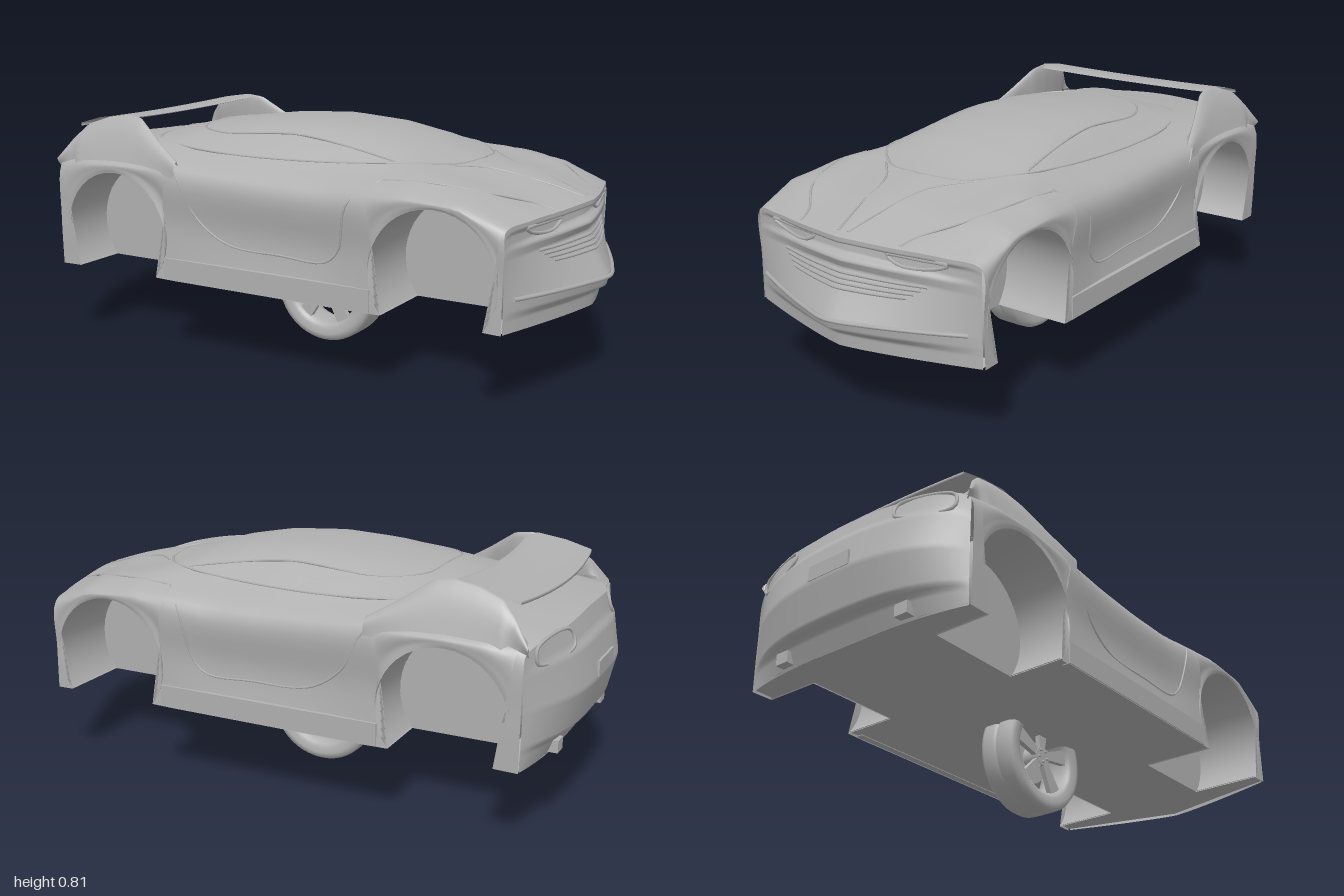
import * as THREE from 'three';

const paint = new THREE.MeshStandardMaterial({ color: 0xb0b0b0, side: THREE.DoubleSide });
paint.name = 'plain grey';
const V = (x, y, z) => new THREE.Vector3(x, y, z);
const lerp = THREE.MathUtils.lerp;

// Smooth surface from a grid of points p(i, j)
function grid(nu, nv, p) {
  const pos = [], idx = [];
  for (let i = 0; i <= nu; i++) for (let j = 0; j <= nv; j++) pos.push(...p(i, j).toArray());
  for (let i = 0; i < nu; i++) for (let j = 0; j < nv; j++) {
    const a = i * (nv + 1) + j, b = a + nv + 1;
    idx.push(a, b, a + 1, b, b + 1, a + 1);
  }
  const g = new THREE.BufferGeometry();
  g.setAttribute('position', new THREE.Float32BufferAttribute(pos, 3));
  g.setIndex(idx);
  g.computeVertexNormals();
  return g;
}

// Linear lookup in a table
function look(xs, ys, x) {
  let i = 0;
  while (i < xs.length - 2 && x > xs[i + 1]) i++;
  return lerp(ys[i], ys[i + 1], THREE.MathUtils.clamp((x - xs[i]) / (xs[i + 1] - xs[i]), 0, 1));
}

// Body measures along the length
const X = [-0.87, -0.75, -0.62, -0.45, -0.2, 0, 0.2, 0.35, 0.5, 0.68, 0.83];
const T = {
  shoulderZ: [0.45, 0.46, 0.46, 0.455, 0.445, 0.443, 0.445, 0.455, 0.46, 0.46, 0.45],
  shoulderY: [0.62, 0.64, 0.645, 0.64, 0.62, 0.61, 0.61, 0.625, 0.64, 0.63, 0.57],
  beltZ: [0.40, 0.38, 0.36, 0.36, 0.35, 0.34, 0.33, 0.34, 0.36, 0.36, 0.34],
  beltY: [0.65, 0.675, 0.69, 0.695, 0.70, 0.70, 0.695, 0.69, 0.69, 0.66, 0.59],
  roofZ: [0.2, 0.2, 0.2, 0.2, 0.21, 0.21, 0.21, 0.21, 0.2, 0.19, 0.18],
  roofY: [0.67, 0.695, 0.715, 0.75, 0.78, 0.787, 0.772, 0.745, 0.705, 0.66, 0.598],
  midY: [0.68, 0.70, 0.73, 0.77, 0.80, 0.81, 0.797, 0.767, 0.72, 0.672, 0.605],
  doorZ: [0.46, 0.462, 0.462, 0.45, 0.435, 0.432, 0.435, 0.45, 0.462, 0.462, 0.455],
};
const ARCH_Y = 0.40, ARCH_R = 0.217, SILL = 0.265;
const ARCHES = [{ cx: -0.62, inner: 0.26 }, { cx: 0.60, inner: 0.2 }];

// Point on the body: w runs 0..10 from one lower edge over the roof to the other
function skin(c, w) {
  const g = k => look(X, T[k], c.xs);
  const sy = g('shoulderY'), half = [
    [0.458, c.yb], [g('doorZ'), lerp(c.yb, sy, 0.5)], [g('shoulderZ'), sy],
    [g('beltZ'), g('beltY')], [g('roofZ'), g('roofY')]];
  const pts = [...half.map(([z, y]) => V(0, y, z)), V(0, g('midY'), 0),
    ...half.reverse().map(([z, y]) => V(0, y, -z))];
  const p = new THREE.CatmullRomCurve3(pts).getPoint(w / 10);
  const a = Math.min(w, 10 - w), xs = c.xs;
  const xc = xs + (xs < -0.6 ? (xs + 0.6) * 0.25 : xs > 0.5 ? (xs - 0.5) * 0.33 : 0);
  const q = Math.min(1, Math.abs(p.z) / g('shoulderZ'));
  p.x = a < 2 ? lerp(c.xb, xs, a / 2) : lerp(xc, xs, q ** (xs < 0 ? 3 : 1.25));
  return p;
}

// Columns of the body; over each wheel the lower end follows the arch
const columns = [{ xs: -0.87, xb: -0.87, yb: SILL }];
const plain = x => ({ xs: x, xb: x, yb: SILL });
ARCHES.forEach(({ cx }, n) => {
  for (let i = 0; i <= 24; i++) {
    const t = i / 24, th = THREE.MathUtils.degToRad(lerp(218, -38, t));
    columns.push({ xs: cx - 0.225 * Math.cos(Math.PI * t),
      xb: cx + ARCH_R * Math.cos(th), yb: ARCH_Y + ARCH_R * Math.sin(th) });
  }
  if (n === 0) for (let i = 0; i <= 14; i++) columns.push(plain(lerp(-0.37, 0.35, i / 14)));
});
columns.push(plain(0.83));

// Nose and tail: from the body's end edge down to the sill
const ENDS = {
  nose: { c: plain(0.83), pow: 1.25,
    k: [0, 0.05, 0.08, 0.17, 0.21, 0.3, 0.45, 0.7, 0.8, 0.87, 1],
    d: [0, 0, -0.04, -0.035, -0.005, -0.02, 0.01, 0.06, 0.05, 0.015, 0.01] },
  tail: { c: plain(-0.87), pow: 3,
    k: [0, 0.15, 0.2, 0.5, 0.8, 0.85, 1], d: [0, -0.02, -0.035, -0.06, -0.03, 0.0, 0.03] },
};
function endPoint(e, w, k, out = 0) {
  const p = skin(e.c, w);
  const s = 1 - Math.min(1, Math.abs(p.z) / 0.455) ** e.pow;
  return V(p.x + look(e.k, e.d, k) * s + out, lerp(p.y, SILL, k), p.z);
}

export function createModel() {
  const car = new THREE.Group();
  car.name = 'car';
  const add = (name, geo, parent = car) => {
    const m = new THREE.Mesh(geo, paint);
    m.name = name;
    parent.add(m);
    return m;
  };
  const tube = (name, pts, r = 0.004, closed = false) =>
    add(name, new THREE.TubeGeometry(new THREE.CatmullRomCurve3(pts, closed), 40, r, 5, closed));

  // Shell
  add('bodyShell', grid(columns.length - 1, 60, (i, j) => skin(columns[i], j / 6)));
  add('noseFascia', grid(48, 60, (i, j) => endPoint(ENDS.nose, 2 + i / 8, j / 60)));
  add('tailFascia', grid(48, 40, (i, j) => endPoint(ENDS.tail, 2 + i / 8, j / 40)));

  // Floor with cut-outs for the wheels
  const right = [[-0.87, -0.45], [-0.79, -0.45], [-0.79, -0.26], [-0.45, -0.26], [-0.45, -0.45],
    [0.43, -0.45], [0.43, -0.2], [0.77, -0.2], [0.77, -0.45], [0.83, -0.45], [0.89, -0.2]];
  const outline = [...right, [0.94, 0], ...right.map(([x, z]) => [x, -z]).reverse(), [-0.9, 0.3], [-0.9, -0.3]];
  const floor = new THREE.ShapeGeometry(new THREE.Shape(outline.map(p => new THREE.Vector2(...p))));
  floor.rotateX(Math.PI / 2).translate(0, 0.27, 0);
  add('floor', floor);

  const a0 = THREE.MathUtils.degToRad(-38), a1 = THREE.MathUtils.degToRad(218);
  for (const s of [-1, 1]) {
    for (const { cx, inner } of ARCHES) {
      // Wheel wells
      add('wheelWell', grid(30, 1, (i, j) => {
        const a = lerp(a0, a1, i / 30);
        return V(cx + ARCH_R * Math.cos(a), ARCH_Y + ARCH_R * Math.sin(a), s * (j ? inner : 0.457));
      }));
      const wall = new THREE.Shape();
      wall.absarc(0, 0, ARCH_R, a0, a1, false);
      add('wellWall', new THREE.ShapeGeometry(wall, 30).translate(cx, ARCH_Y, s * inner));
    }
    // Sill with its ledge
    add('sill', new THREE.BoxGeometry(0.8, 0.075, 0.03).translate(-0.01, 0.305, s * 0.446));

    // Rear fin rising from the shoulder to the wing
    const fx = [-0.88, -0.83, -0.78, -0.7, -0.62, -0.56, -0.46, -0.36];
    const fy = [0.65, 0.72, 0.77, 0.797, 0.81, 0.803, 0.735, 0.675];
    add('rearFin', grid(32, 16, (i, j) => {
      const x = lerp(-0.88, -0.36, i / 32), top = look(fx, fy, x), h = Math.max(0, top - 0.64);
      const tz = 0.455 - 0.5 * h, base = x < -0.8 ? 0.44 : 0.457;
      const loop = [[base, 0.62], [lerp(base, tz, 0.65) + 0.01, lerp(0.63, top, 0.7)], [tz, top],
        [tz - 0.008, top - 0.02], [Math.min(0.40, tz), Math.min(0.67, top - 0.02)]];
      return new THREE.CatmullRomCurve3(loop.map(([z, y]) => V(x, y, z * s))).getPoint(j / 16);
    }));

    // Lights, side seams and bonnet creases
    const w = n => 5 - s * n;
    tube('headlight', [[0.8, 0.1], [1.5, 0.07], [2.1, 0.06], [1.8, 0.13], [1.1, 0.17]]
      .map(([a, k]) => endPoint(ENDS.nose, w(a), k, 0.004)), 0.006, true);
    tube('tailLight', [[1.1, 0.03], [2.1, 0.02], [2.1, 0.14], [1.1, 0.15]]
      .map(([a, k]) => endPoint(ENDS.tail, w(a), k, -0.004)), 0.006, true);
    tube('doorSeam', [[-0.42, 2.4], [-0.36, 3], [-0.28, 3.75], [-0.16, 4.15], [0.05, 4.2], [0.22, 4.2], [0.27, 3.95], [0.31, 3.1], [0.39, 2.3]]
      .map(([x, a]) => skin(plain(x), w(a))));
    tube('bonnetCrease', [[0.52, 0.9], [0.6, 0.45], [0.72, 0.25], [0.81, 0.1]]
      .map(([x, a]) => skin(plain(x), w(a))));
    tube('fenderCrease', [[0.4, 2.3], [0.55, 2.1], [0.7, 1.7], [0.78, 1.2], [0.82, 1.1]]
      .map(([x, a]) => skin(plain(x), w(a))));
    tube('sideWindowSeam', [[-0.62, 0], [-0.6, 1.1], [-0.4, 1.8], [-0.15, 2.0], [0.2, 1.9], [0.4, 1.5], [0.53, 0.7], [0.55, 0]]
      .map(([x, a]) => skin(plain(x), w(a))));
    tube('roofSeam', [[-0.46, 0], [-0.44, 0.8], [-0.3, 1.25], [0, 1.25], [0.25, 1.4], [0.38, 1.5]]
      .map(([x, a]) => skin(plain(x), w(a))));
    add('diffuserBlock', new THREE.BoxGeometry(0.07, 0.04, 0.05).translate(-0.9, 0.295, s * 0.25));
  }

  // Wing bridging the fins
  const section = [[-0.6, 0.80], [-0.64, 0.808], [-0.74, 0.793], [-0.83, 0.768], [-0.83, 0.757], [-0.74, 0.778], [-0.64, 0.79], [-0.6, 0.80]];
  add('rearWing', grid(20, 7, (i, j) => {
    const t = i / 10 - 1, [x, y] = section[j];
    return V(x - 0.03 * (1 - t * t), y - 0.012 * (1 - t * t), t * 0.38);
  }));

  // Grille: frame and bars
  const bar = (name, k, n, r) => tube(name, [-1, -0.75, -0.5, -0.25, 0, 0.25, 0.5, 0.75, 1].map(t =>
    endPoint(ENDS.nose, 5 + n * t, k - 0.02 * t * t, 0.003)), r);
  [0.33, 0.37, 0.41, 0.45].forEach((k, i) => bar('grilleBar', k, 1.65 - i * 0.12, 0.005));
  bar('lowerLip', 0.7, 2.6, 0.007);
  add('numberPlate', new THREE.BoxGeometry(0.008, 0.05, 0.17).translate(-0.995, 0.5, 0));

  // Single wheel under the middle
  const wheel = new THREE.Group();
  wheel.name = 'wheel';
  wheel.position.set(-0.013, 0.197, 0);
  car.add(wheel);
  const ring = (name, pts) => add(name, new THREE.LatheGeometry(
    pts.map(p => new THREE.Vector2(...p)), 48).rotateX(Math.PI / 2), wheel);
  ring('tyre', [[0.148, -0.062], [0.17, -0.069], [0.188, -0.064], [0.196, -0.05], [0.197, -0.012], [0.19, -0.005],
    [0.19, 0.005], [0.197, 0.012], [0.196, 0.05], [0.188, 0.064], [0.17, 0.069], [0.148, 0.062]]);
  ring('rim', [[0.15, -0.064], [0.138, -0.06], [0.128, -0.03], [0.128, 0.04], [0.138, 0.06], [0.15, 0.064]]);
  add('brakeDisc', new THREE.CylinderGeometry(0.085, 0.085, 0.012, 32).rotateX(Math.PI / 2).translate(0, 0, -0.01), wheel);
  add('hub', new THREE.CylinderGeometry(0.034, 0.04, 0.06, 20).rotateX(Math.PI / 2).translate(0, 0, 0.022), wheel);
  const spoke = new THREE.Shape([[-0.014, 0.025], [0.014, 0.025], [0.034, 0.134], [-0.02, 0.136]]
    .map(p => new THREE.Vector2(...p)));
  const spokeGeo = new THREE.ExtrudeGeometry(spoke, { depth: 0.018, bevelEnabled: false }).translate(0, 0, 0.032);
  const nut = new THREE.CylinderGeometry(0.005, 0.005, 0.01, 8).rotateX(Math.PI / 2).translate(0, 0.022, 0.055);
  for (let i = 0; i < 5; i++) {
    add('spoke', spokeGeo, wheel).rotation.z = i * Math.PI * 0.4;
    add('wheelNut', nut, wheel).rotation.z = (i + 0.5) * Math.PI * 0.4;
  }
  return car;
}
